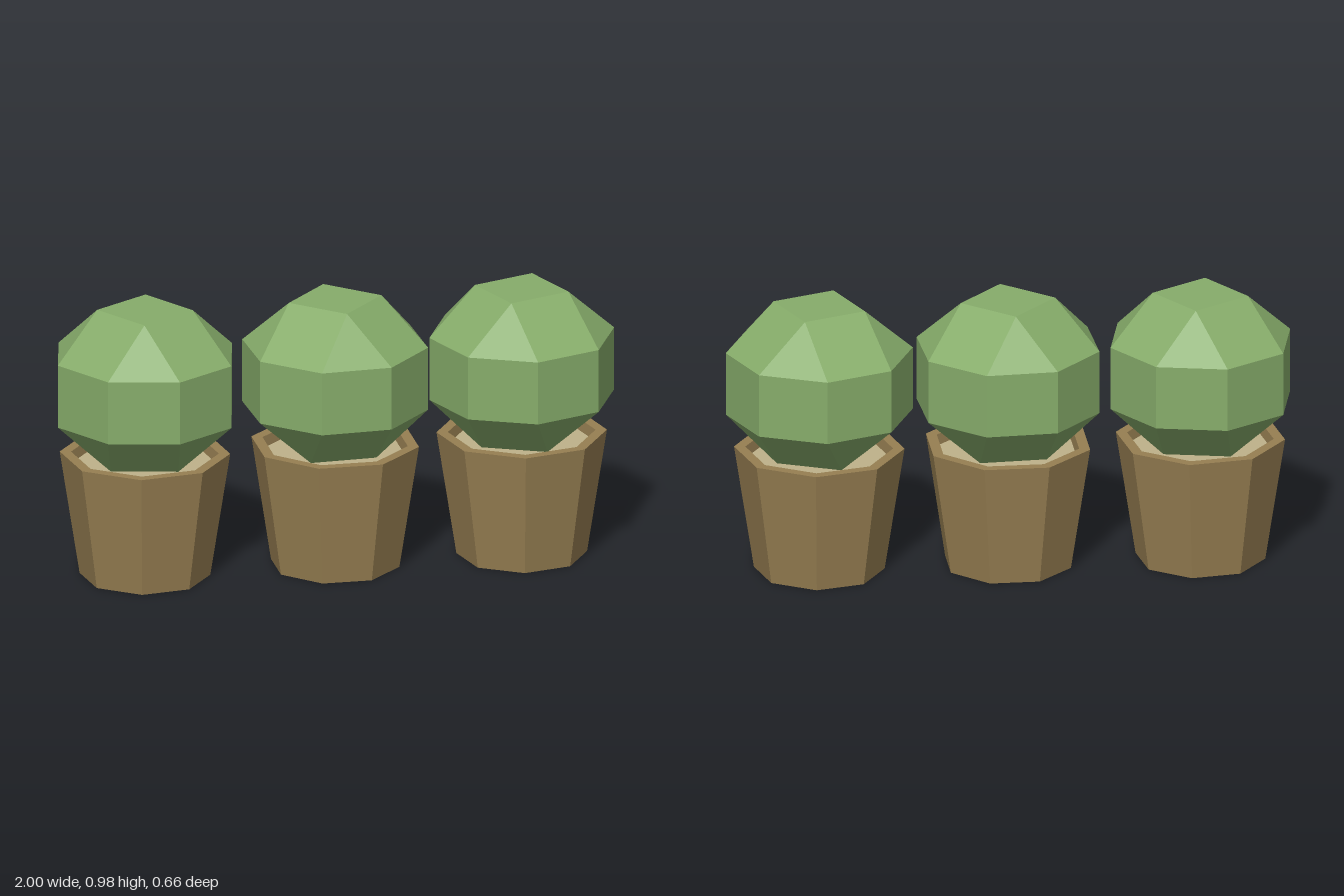
import * as THREE from 'three';
import { ConvexGeometry } from 'three/addons/geometries/ConvexGeometry.js';

const rad = THREE.MathUtils.degToRad;

// Regular polygon of points at height y; angles run from +z towards +x
function ring(count, radius, y, startDeg) {
  return Array.from({ length: count }, (_, i) => {
    const a = rad(startDeg + (i * 360) / count);
    return new THREE.Vector3(radius * Math.sin(a), y, radius * Math.cos(a));
  });
}

// Faceted bush: octagonal band closed by a square above and a twisted square below
function bushGeometry() {
  return new ConvexGeometry([
    ...ring(4, 0.168, 0.98, 0),
    ...ring(8, 0.33, 0.815, 22.5),
    ...ring(8, 0.33, 0.585, 22.5),
    ...ring(4, 0.168, 0.42, 45),
  ]);
}

export function createModel() {
  const material = (name, color) => {
    const m = new THREE.MeshStandardMaterial({ color, flatShading: true, side: THREE.DoubleSide });
    m.name = name;
    return m;
  };
  const leafGreen = material('leafGreen', 0x86ac6a);
  const potBrown = material('potBrown', 0x977f52);
  const soilBeige = material('soilBeige', 0xbeb28a);

  // Open-bottomed octagonal pot: outer wall, rim, short inner wall
  const potGeometry = new THREE.LatheGeometry(
    [[0.23, 0], [0.3, 0.45], [0.26, 0.45], [0.253, 0.41]].map(([r, y]) => new THREE.Vector2(r, y)), 8);
  const soilGeometry = new THREE.LatheGeometry(
    [new THREE.Vector2(0.253, 0.412), new THREE.Vector2(0, 0.412)], 8);
  const bush = bushGeometry();

  const model = new THREE.Group();
  model.name = 'pottedBushes';

  const plants = [
    { name: 'rightPlant', x: -0.677, potTurn: -12.5, bushTurn: -10.7 },
    { name: 'middlePlant', x: 0.002, potTurn: 24, bushTurn: 4.4 },
    { name: 'leftPlant', x: 0.668, potTurn: -7.3, bushTurn: -22.5 },
  ];
  for (const { name, x, potTurn, bushTurn } of plants) {
    const plant = new THREE.Group();
    plant.name = name;
    plant.position.x = x;
    const add = (part, geometry, mat, turn) => {
      const mesh = new THREE.Mesh(geometry, mat);
      mesh.name = part;
      mesh.rotation.y = rad(turn);
      plant.add(mesh);
    };
    add('pot', potGeometry, potBrown, potTurn);
    add('soil', soilGeometry, soilBeige, potTurn);
    add('bush', bush, leafGreen, bushTurn);
    model.add(plant);
  }
  return model;
}
